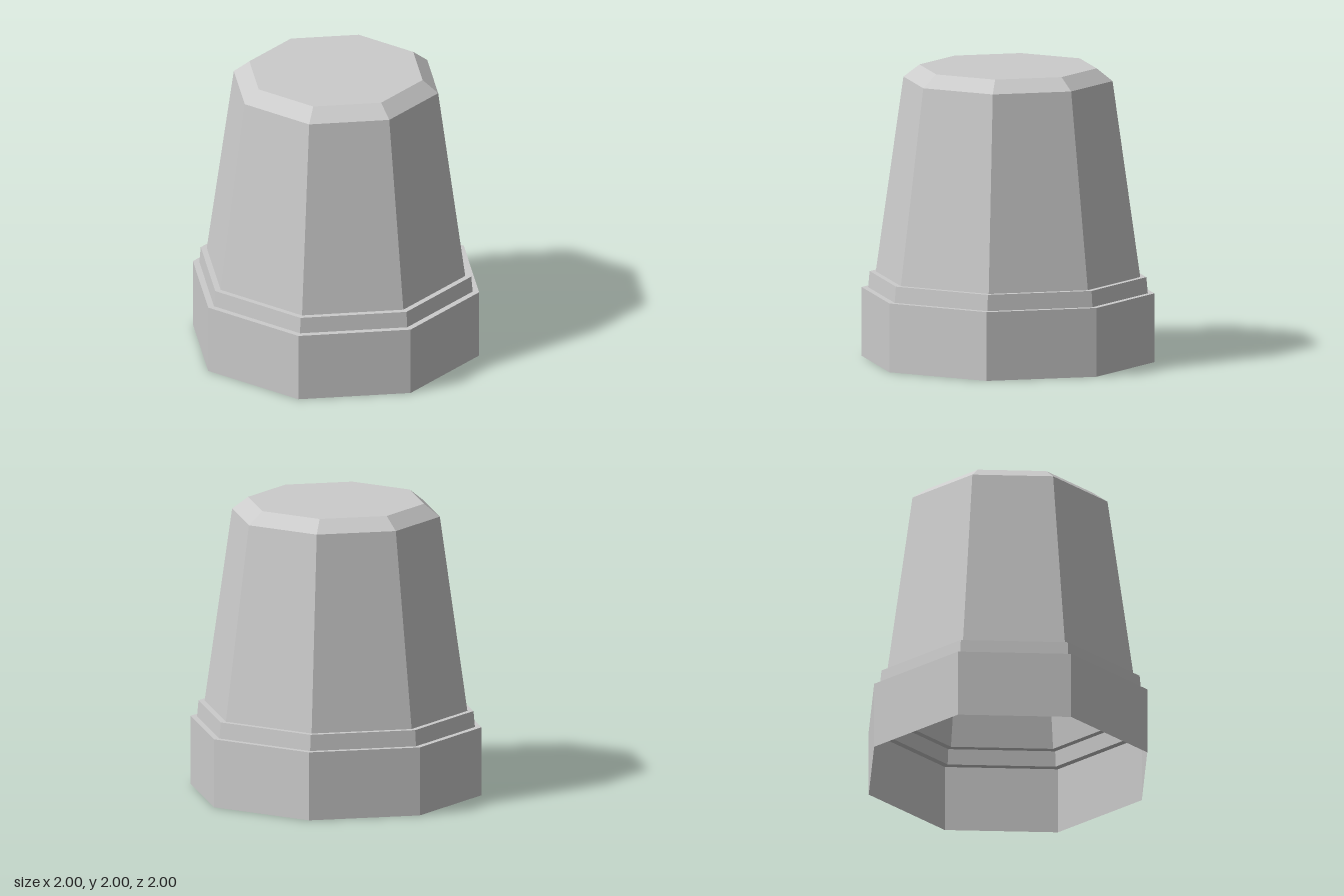
import * as THREE from 'three';

const SIDES = 8;

// Open eight-sided shell swept from [radius, height] points, listed bottom to top
function facetedShell(name, profile, material) {
  const points = profile.map(([r, y]) => new THREE.Vector2(r, y));
  const geometry = new THREE.LatheGeometry(points, SIDES).toNonIndexed();
  geometry.computeVertexNormals();
  const mesh = new THREE.Mesh(geometry, material);
  mesh.name = name;
  return mesh;
}

export function createModel() {
  const group = new THREE.Group();
  group.name = 'hollowOctagonalCap';
  const material = new THREE.MeshStandardMaterial({
    color: 0xcccccc,
    flatShading: true,
    side: THREE.DoubleSide,
  });

  group.add(
    // upright rim, open underneath, with its narrow ledge
    facetedShell('baseRim', [[1, 0], [1, 0.47], [0.955, 0.47]], material),
    // small stepped collar
    facetedShell('collar', [[0.955, 0.47], [0.945, 0.58], [0.903, 0.58]], material),
    // tapered wall
    facetedShell('taperedBody', [[0.903, 0.58], [0.714, 1.915]], material),
    // chamfer and closed flat top
    facetedShell('bevelledTop', [[0.714, 1.915], [0.605, 2]], material),
  );

  // flat octagonal lid
  const lid = new THREE.Mesh(new THREE.CircleGeometry(0.605, SIDES), material);
  lid.name = 'flatTop';
  lid.rotation.x = -Math.PI / 2;
  lid.position.y = 2;
  group.add(lid);

  return group;
}
